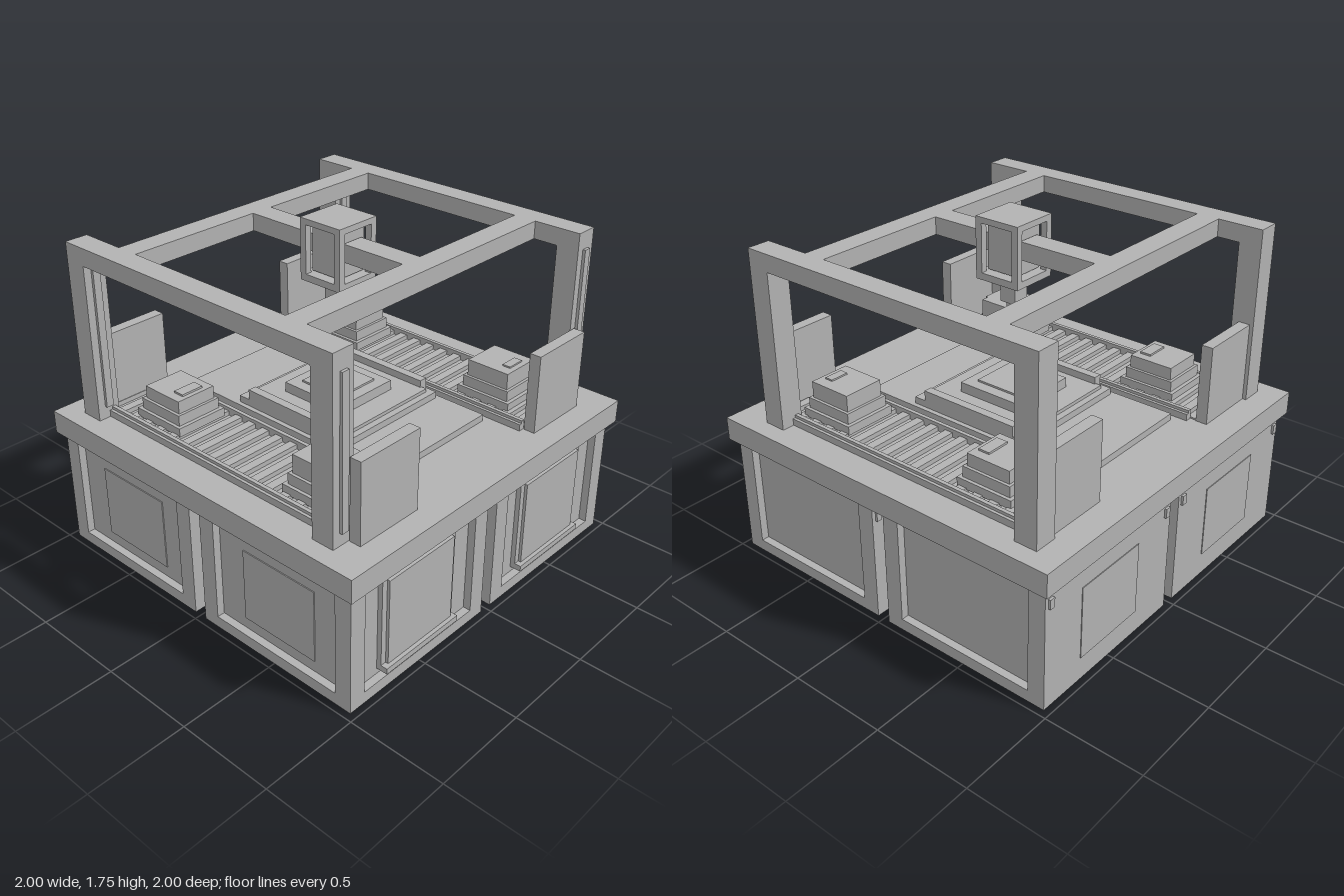
import * as THREE from 'three';

const grey = new THREE.MeshStandardMaterial({ color: 0xb2b2b2 });
grey.name = 'machine grey';

// Box given by its extents on each axis
function box(parent, name, [x0, x1], [y0, y1], [z0, z1]) {
  const mesh = new THREE.Mesh(new THREE.BoxGeometry(x1 - x0, y1 - y0, z1 - z0), grey);
  mesh.position.set((x0 + x1) / 2, (y0 + y1) / 2, (z0 + z1) / 2);
  mesh.name = name;
  parent.add(mesh);
  return mesh;
}

// Box centred on x and z
const centred = (parent, name, hx, y, hz) => box(parent, name, [-hx, hx], y, [-hz, hz]);

function group(parent, name, x = 0, z = 0) {
  const g = new THREE.Group();
  g.name = name;
  g.position.set(x, 0, z);
  parent.add(g);
  return g;
}

// Cabinet with recessed front and sides, a raised door and a flush back
function cabinet(parent, x, z) {
  const g = group(parent, 'cabinet', x, z);
  const r = 0.465;
  const inner = r - 0.04;
  box(g, 'cabinetCore', [-inner, inner], [0.06, 0.63], [-r, inner]);
  centred(g, 'plinth', r, [0, 0.06], r);
  for (const s of [-1, 1]) {
    const px = s > 0 ? [0.375, r] : [-r, -0.375];
    box(g, 'frontStile', px, [0.06, 0.63], [0.375, r]);
    box(g, 'backStile', px, [0.06, 0.63], [-r, -0.375]);
    box(g, 'hinge', [s * 0.43 - 0.015, s * 0.43 + 0.015], [0.53, 0.58], [-r - 0.012, -r]);
  }
  box(g, 'doorFrame', [-0.25, 0.245], [0.09, 0.6], [inner, 0.45]);
  box(g, 'doorPanel', [-0.22, 0.22], [0.12, 0.57], [0.45, 0.465]);
  box(g, 'doorLedge', [-0.25, 0.245], [0.09, 0.12], [0.45, 0.485]);
  box(g, 'backPanel', [-0.21, 0.21], [0.12, 0.5], [-r - 0.004, -r]);
  if (x < 0) box(g, 'sidePanel', [-inner - 0.005, -inner], [0.12, 0.5], [-0.22, 0.22]);
}

// Stepped pallet carrying a box
function workpiece(parent, x, z, top) {
  const g = group(parent, 'workpiece', x, z);
  centred(g, 'palletBase', 0.142, [0.775, 0.82], 0.155);
  centred(g, 'palletStep', 0.125, [0.82, 0.875], 0.135);
  centred(g, 'partBody', 0.11, [0.875, top], 0.12);
  return g;
}

export function createModel() {
  const model = new THREE.Group();
  model.name = 'gantryWorkstation';

  // Base
  for (const x of [-0.5, 0.5]) for (const z of [-0.5, 0.5]) cabinet(model, x, z);
  centred(model, 'tabletop', 1, [0.63, 0.75], 1);

  // Gantry frame
  const frame = group(model, 'gantryFrame');
  const beamY = [1.565, 1.655];
  for (const s of [-1, 1]) {
    const px = s > 0 ? [0.785, 0.905] : [-0.905, -0.785];
    const sx = s > 0 ? [0.825, 0.865] : [-0.865, -0.825];
    box(frame, 'sideBeam', px, beamY, [-0.87, 0.81]);
    for (const z of [0.69, -0.87]) {
      box(frame, 'post', px, [0.75, 1.565], [z, z + 0.12]);
      box(frame, 'postStrip', sx, [0.815, 1.565], [z + 0.12, z + 0.135]);
    }
  }
  box(frame, 'frontCrossBeam', [-0.785, 0.785], beamY, [0.44, 0.56]);
  box(frame, 'backCrossBeam', [-0.785, 0.785], beamY, [-0.63, -0.51]);
  box(frame, 'centreBeamFront', [-0.06, 0.06], beamY, [0.09, 0.44]);
  box(frame, 'centreBeamBack', [-0.06, 0.06], beamY, [-0.51, -0.09]);

  // Tool head: open cage around a core, with a stepped nozzle
  const head = group(model, 'toolHead');
  centred(head, 'headTop', 0.125, [1.72, 1.75], 0.125);
  centred(head, 'headBottom', 0.125, [1.44, 1.475], 0.125);
  centred(head, 'headCore', 0.085, [1.485, 1.71], 0.085);
  for (const x of [-0.125, 0.09]) for (const z of [-0.125, 0.09])
    box(head, 'headCorner', [x, x + 0.035], [1.475, 1.72], [z, z + 0.035]);
  centred(head, 'nozzleCollar', 0.045, [1.32, 1.44], 0.045);
  centred(head, 'nozzleTip', 0.025, [1.255, 1.32], 0.025);

  // Conveyors with slats, rails, end shields and workpieces
  for (const s of [-1, 1]) {
    const conveyor = group(model, s > 0 ? 'leftConveyor' : 'rightConveyor', s * 0.625);
    centred(conveyor, 'conveyorBed', 0.18, [0.75, 0.758], 0.8);
    for (let i = 0; i < 18; i++) {
      const z = -0.81 + i * 0.0935;
      box(conveyor, 'slat', [-0.18, 0.18], [0.758, 0.782], [z - 0.023, z + 0.023]);
    }
    for (const e of [-1, 1]) {
      box(conveyor, 'rail', [e * 0.19 - 0.01, e * 0.19 + 0.01], [0.75, 0.8], [-0.755, 0.81]);
      box(conveyor, 'railFoot', [e * 0.207 - 0.008, e * 0.207 + 0.008], [0.75, 0.785], [-0.755, 0.81]);
    }
    box(conveyor, 'frontShield', [-0.185, 0.185], [0.75, 1.16], [0.815, 0.875]);
    box(conveyor, 'backShield', [-0.185, 0.185], [0.75, 1.16], [-0.85, -0.79]);

    const back = workpiece(conveyor, 0, -0.465, 0.94);
    box(back, 'topPad', [-0.062, 0.062], [0.94, 0.95], [0.035, 0.095]);
    const front = workpiece(conveyor, 0, 0.53, s > 0 ? 0.96 : 0.97);
    if (s > 0) box(front, 'topPad', [-0.05, 0.05], [0.96, 0.968], [0.045, 0.09]);
    else box(front, 'frontPad', [-0.062, 0.062], [0.88, 0.97], [0.12, 0.135]);
  }

  // Central work platform
  const platform = group(model, 'workPlatform');
  box(platform, 'platformBase', [-0.37, 0.37], [0.75, 0.785], [-0.69, 0.62]);
  centred(platform, 'lowerPlate', 0.345, [0.785, 0.82], 0.345);
  centred(platform, 'upperPlate', 0.31, [0.82, 0.838], 0.31);
  centred(platform, 'fixture', 0.185, [0.838, 0.89], 0.185);
  centred(platform, 'fixtureTop', 0.125, [0.89, 0.9], 0.125);
  for (const x of [-0.345, 0.3])
    box(platform, 'clamp', [x, x + 0.045], [0.82, 0.875], [-0.28, 0.28]);

  return model;
}
